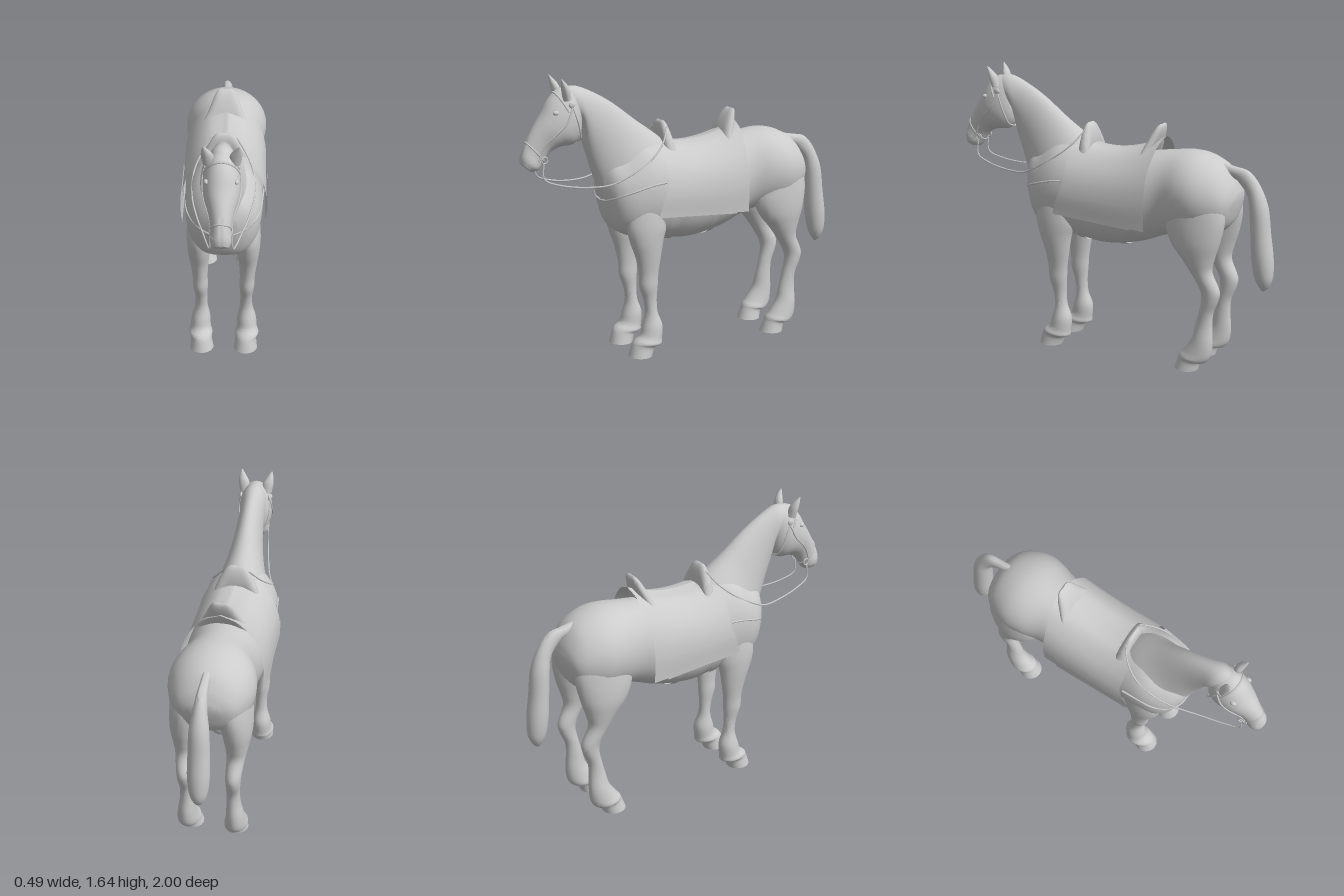
import * as THREE from 'three';
import { toCreasedNormals } from 'three/addons/utils/BufferGeometryUtils.js';
import { ParametricGeometry } from 'three/addons/geometries/ParametricGeometry.js';

const material = new THREE.MeshStandardMaterial({ color: 0xcccccc, roughness: 0.8 });
const cloth = new THREE.MeshStandardMaterial({ color: 0xcccccc, roughness: 0.8, side: THREE.DoubleSide });
const V = (x, y, z) => new THREE.Vector3(x, y, z);

// Smooth interpolation of one column through the section rows, t in row units
function mix(rows, t, k) {
  const i = Math.min(Math.floor(t), rows.length - 2), f = t - i;
  const get = j => rows[Math.max(0, Math.min(rows.length - 1, j))][k] ?? 0;
  const [a, b, c, d] = [get(i - 1), get(i), get(i + 1), get(i + 2)];
  return b + 0.5 * f * (c - a + f * (2 * a - 5 * b + 4 * c - d + f * (3 * (b - c) + d - a)));
}

// Sections run from point A to point B in the side plane: [zA, yA, zB, yB, halfWidth, x, fullness of the B half]
function sidePoint(rows, t, ang, s = 1) {
  const [zA, yA, zB, yB, w, x, full] = [0, 1, 2, 3, 4, 5, 6].map(k => mix(rows, t, k));
  const c = Math.cos(ang) * s / 2, sin = Math.sin(ang);
  const across = Math.sign(sin) * Math.abs(sin) ** (c < 0 ? 1 - full : 1);
  return V(x + across * w * s, (yA + yB) / 2 + c * (yA - yB), (zA + zB) / 2 + c * (zA - zB));
}

// Sections stacked across x, for arches: [x, yTop, zTop, yBottom, zBottom, halfThickness]
function archPoint(rows, t, ang) {
  const [x, yT, zT, yB, zB, h] = [0, 1, 2, 3, 4, 5].map(k => mix(rows, t, k));
  const c = Math.cos(ang) / 2;
  return V(x, (yT + yB) / 2 + c * (yT - yB), (zT + zB) / 2 + c * (zT - zB) + Math.sin(ang) * h);
}

// Closed skin over the sections, with end caps; turned outward by its signed volume
function loft(rows, point = sidePoint, around = 36, steps = 5) {
  const rings = (rows.length - 1) * steps + 1, pos = [], idx = [];
  for (let i = 0; i < rings; i++)
    for (let j = 0; j < around; j++) pos.push(...point(rows, i / steps, j / around * Math.PI * 2));
  for (const i of [0, rings - 1]) {
    const a = V(...pos.slice(i * around * 3, i * around * 3 + 3));
    const k = (i * around + around / 2) * 3;
    pos.push(...a.add(V(...pos.slice(k, k + 3))).multiplyScalar(0.5));
  }
  const end = rings * around;
  for (let j = 0; j < around; j++) {
    const n = (j + 1) % around, last = (rings - 1) * around;
    for (let i = 0; i < rings - 1; i++) {
      const p = i * around, q = p + around;
      idx.push(p + j, q + j, p + n, p + n, q + j, q + n);
    }
    idx.push(end, j, n, end + 1, last + n, last + j);
  }
  const at = i => V(pos[i * 3], pos[i * 3 + 1], pos[i * 3 + 2]);
  let volume = 0;
  for (let i = 0; i < idx.length; i += 3) volume += at(idx[i]).dot(at(idx[i + 1]).cross(at(idx[i + 2])));
  if (volume < 0) idx.reverse();
  const g = new THREE.BufferGeometry();
  g.setAttribute('position', new THREE.Float32BufferAttribute(pos, 3));
  g.setIndex(idx);
  return toCreasedNormals(g, 0.9);
}

const BODY = [
  [0.54, 1.08, 0.515, 0.88, 0.075, 0, 0.2], [0.50, 1.16, 0.47, 0.77, 0.15, 0, 0.35], [0.42, 1.20, 0.40, 0.72, 0.198, 0, 0.38],
  [0.3, 1.27, 0.3, 0.70, 0.218, 0, 0.3], [0.15, 1.25, 0.15, 0.67, 0.218, 0, 0.15], [0, 1.215, 0, 0.655, 0.225, 0, 0.12],
  [-0.2, 1.22, -0.2, 0.69, 0.222, 0, 0.12], [-0.36, 1.24, -0.36, 0.75, 0.203, 0, 0.15], [-0.5, 1.255, -0.48, 0.78, 0.235, 0, 0.2],
  [-0.6, 1.24, -0.58, 0.78, 0.24, 0, 0.2], [-0.7, 1.19, -0.68, 0.8, 0.205, 0, 0.2], [-0.76, 1.11, -0.745, 0.86, 0.155, 0, 0.1],
  [-0.785, 1.04, -0.775, 0.95, 0.08]];
const NECK = [
  [0.76, 1.58, 0.70, 1.40, 0.06], [0.68, 1.592, 0.645, 1.38, 0.073], [0.58, 1.555, 0.625, 1.26, 0.074],
  [0.45, 1.48, 0.59, 1.14, 0.084], [0.3, 1.365, 0.55, 1.02, 0.112], [0.17, 1.27, 0.5, 0.88, 0.16],
  [0.1, 1.2, 0.42, 0.8, 0.18]];
const HEAD = [
  [0.70, 1.585, 0.64, 1.44, 0.06], [0.77, 1.58, 0.645, 1.33, 0.09], [0.83, 1.525, 0.69, 1.27, 0.098],
  [0.875, 1.45, 0.765, 1.262, 0.088], [0.925, 1.375, 0.83, 1.235, 0.065], [0.97, 1.295, 0.87, 1.18, 0.052],
  [0.995, 1.23, 0.90, 1.145, 0.055], [0.998, 1.19, 0.94, 1.138, 0.042]];
const TAIL = [
  [-0.68, 1.2, -0.68, 1.13, 0.025], [-0.76, 1.185, -0.75, 1.12, 0.025], [-0.84, 1.165, -0.79, 1.09, 0.03],
  [-0.905, 1.09, -0.835, 1.03, 0.04], [-0.955, 0.97, -0.85, 0.95, 0.055], [-0.975, 0.82, -0.86, 0.82, 0.06],
  [-0.995, 0.68, -0.87, 0.68, 0.062], [-0.995, 0.57, -0.89, 0.57, 0.05], [-0.97, 0.51, -0.92, 0.51, 0.025],
  [-0.945, 0.49, -0.935, 0.49, 0.005]];
const FRONT_LEG = [
  [0.36, 1.05, 0.25, 1.03, 0.04, 0.13], [0.41, 0.92, 0.2, 0.9, 0.062, 0.138], [0.43, 0.8, 0.185, 0.78, 0.07, 0.14],
  [0.41, 0.7, 0.205, 0.69, 0.066, 0.14], [0.375, 0.6, 0.22, 0.6, 0.054, 0.14], [0.355, 0.5, 0.235, 0.5, 0.044, 0.137],
  [0.35, 0.42, 0.24, 0.42, 0.043, 0.135], [0.325, 0.34, 0.245, 0.34, 0.035, 0.132], [0.315, 0.26, 0.24, 0.26, 0.038, 0.132],
  [0.335, 0.18, 0.213, 0.18, 0.055, 0.135], [0.35, 0.13, 0.218, 0.1, 0.06, 0.137], [0.385, 0.1, 0.222, 0.07, 0.07, 0.137],
  [0.40, 0.075, 0.26, 0.055, 0.062, 0.132], [0.42, 0.01, 0.28, 0.005, 0.07, 0.13]];
const HIND_LEG = [
  [-0.5, 1.12, -0.68, 1.12, 0.05, 0.1], [-0.43, 1.0, -0.74, 1.0, 0.09, 0.122], [-0.405, 0.86, -0.755, 0.9, 0.096, 0.133],
  [-0.445, 0.75, -0.735, 0.78, 0.085, 0.145], [-0.51, 0.67, -0.705, 0.68, 0.068, 0.147], [-0.575, 0.58, -0.692, 0.6, 0.052, 0.145],
  [-0.62, 0.5, -0.735, 0.5, 0.045, 0.14], [-0.63, 0.44, -0.73, 0.44, 0.042, 0.138], [-0.615, 0.36, -0.70, 0.36, 0.038, 0.135],
  [-0.595, 0.28, -0.695, 0.28, 0.04, 0.135], [-0.575, 0.2, -0.70, 0.18, 0.05, 0.14], [-0.53, 0.13, -0.69, 0.1, 0.06, 0.14],
  [-0.505, 0.1, -0.66, 0.06, 0.068, 0.138], [-0.495, 0.075, -0.625, 0.055, 0.06, 0.135], [-0.47, 0.01, -0.61, 0.005, 0.07, 0.132]];
const EAR = [
  [0.765, 1.52, 0.72, 1.53, 0.03, 0.066], [0.775, 1.57, 0.733, 1.585, 0.032, 0.073],
  [0.782, 1.61, 0.755, 1.62, 0.019, 0.083], [0.786, 1.645, 0.78, 1.645, 0.003, 0.09]];
const POMMEL = [
  [0, 1.355, 0.145, 1.18, 0.13, 0.028], [0.05, 1.345, 0.145, 1.18, 0.13, 0.028],
  [0.1, 1.27, 0.14, 1.13, 0.13, 0.032], [0.13, 1.19, 0.13, 1.1, 0.13, 0.026], [0.142, 1.15, 0.13, 1.1, 0.13, 0.01]];
const CANTLE = [
  [0, 1.385, -0.315, 1.17, -0.225, 0.03], [0.05, 1.375, -0.31, 1.17, -0.225, 0.028],
  [0.1, 1.27, -0.265, 1.13, -0.21, 0.024], [0.15, 1.17, -0.22, 1.1, -0.2, 0.014]];
const mirrored = half => [...half.slice(1).reverse().map(r => [-r[0], ...r.slice(1)]), ...half];

// Cloth profile from the spine down one flank
const drape = new THREE.CatmullRomCurve3([
  V(0, 1.232, 0), V(0.1, 1.205, 0), V(0.18, 1.13, 0), V(0.222, 1.05, 0), V(0.24, 0.95, 0), V(0.235, 0.81, 0)]);

// Sheet draped over the back between flank positions v0 and v1, raised by lift
function drapedSheet(front, back, v0, v1, lift) {
  return new ParametricGeometry((u, v, target) => {
    const s = v0 + (v1 - v0) * v, d = Math.abs(s), p = drape.getPointAt(d);
    const flare = d > 0.6 ? (d - 0.6) / 0.4 : 0;
    const z = (front + 0.07 * flare) * (1 - u) + (back - 0.03 * Math.max(0, 1 - 2 * d)) * u;
    const y = p.y + 0.03 * (z / 0.2) ** 2 * (1 - d) + (1 - u) * 0.035 * flare;
    target.set(Math.sign(s) * (p.x + lift), y, z);
  }, 16, 40);
}

export function createModel() {
  const model = new THREE.Group();
  const add = (name, geometry, mat = material) => {
    const mesh = new THREE.Mesh(geometry, mat);
    mesh.name = name;
    model.add(mesh);
    return mesh;
  };
  const strap = (name, points, r, closed = false) =>
    add(name, new THREE.TubeGeometry(new THREE.CatmullRomCurve3(points, closed), 48, r, 6, closed));

  // Animal
  add('body', loft(BODY));
  add('neck', loft(NECK));
  add('head', loft(HEAD));
  add('tail', loft(TAIL, sidePoint, 20));

  // Saddle, cloth and girths
  add('saddleCloth', drapedSheet(0.205, -0.31, -1, 1, 0), cloth);
  add('pommel', loft(mirrored(POMMEL), archPoint, 20));
  add('cantle', loft(mirrored(CANTLE), archPoint, 20));
  [[3.85, 4.2], [5.5, 5.67]].forEach(([t0, t1]) => add('girth', new ParametricGeometry((u, v, target) =>
    target.copy(sidePoint(BODY, t0 + (t1 - t0) * u, Math.PI * (0.5 + v), 1.025)), 3, 40), cloth));

  // Bridle bands running round the head
  const ring = (t, a0, a1) => Array.from({ length: 13 }, (_, i) =>
    sidePoint(HEAD, t, (a0 + (a1 - a0) * i / 12) * Math.PI));
  strap('noseband', ring(4.9, 0, 24 / 13), 0.005, true);
  strap('browband', ring(1.4, -0.42, 0.42), 0.006);

  for (const side of [1, -1]) {
    const flip = rows => rows.map(r => [...r.slice(0, 5), r[5] * side]);
    const path = pts => pts.map(([x, y, z]) => V(x * side, y, z));
    add('frontLeg', loft(flip(FRONT_LEG), sidePoint, 24));
    add('hindLeg', loft(flip(HIND_LEG), sidePoint, 24));
    add('ear', loft(flip(EAR), sidePoint, 14));

    // Eye and nostril
    const eye = add('eye', new THREE.SphereGeometry(0.016, 16, 12));
    eye.position.set(0.077 * side, 1.462, 0.815);
    eye.scale.set(0.8, 0.8, 1.1);
    const nostril = add('nostril', new THREE.TorusGeometry(0.011, 0.004, 8, 16));
    nostril.position.set(0.042 * side, 1.215, 0.968);
    nostril.rotation.y = side * 1.1;

    // Cheek strap, throat strap, rosette and bit ring
    strap('cheekStrap', [0.9, 1.4, 2, 3, 4, 4.8, 5.4].map((t, i) =>
      sidePoint(HEAD, t, side * Math.PI * (0.42 + 0.035 * i), 1.02)), 0.005);
    strap('throatStrap', path([[0.086, 1.5, 0.725], [0.09, 1.4, 0.69], [0.06, 1.31, 0.665], [0, 1.285, 0.66]]), 0.005);
    const rosette = add('rosette', new THREE.SphereGeometry(0.018, 14, 10));
    rosette.position.set(0.086 * side, 1.5, 0.725);
    rosette.scale.x = 0.5;
    const bit = add('bitRing', new THREE.TorusGeometry(0.018, 0.004, 8, 20));
    bit.position.set(0.056 * side, 1.205, 0.88);
    bit.rotation.y = Math.PI / 2;

    // Rein from the bit to the pommel
    strap('rein', path([[0.056, 1.19, 0.885], [0.06, 1.1, 0.885], [0.075, 1.06, 0.8], [0.105, 1.037, 0.65],
      [0.14, 1.045, 0.52], [0.17, 1.1, 0.4], [0.165, 1.18, 0.27], [0.125, 1.25, 0.19], [0.07, 1.325, 0.14]]), 0.005);

    // Breast strap, from the middle of the chest back to the cloth
    strap('breastStrap', path([[0, 0.93, 0.528], [0.075, 0.94, 0.521], [0.148, 0.97, 0.482], [0.197, 1.0, 0.41],
      [0.216, 1.03, 0.3], [0.222, 1.04, 0.22]]), 0.006);

    // Side flap over the cloth
    add('sideFlap', drapedSheet(0.19, -0.225, side * 0.74, side * 1, 0.006), cloth);
  }
  return model;
}
